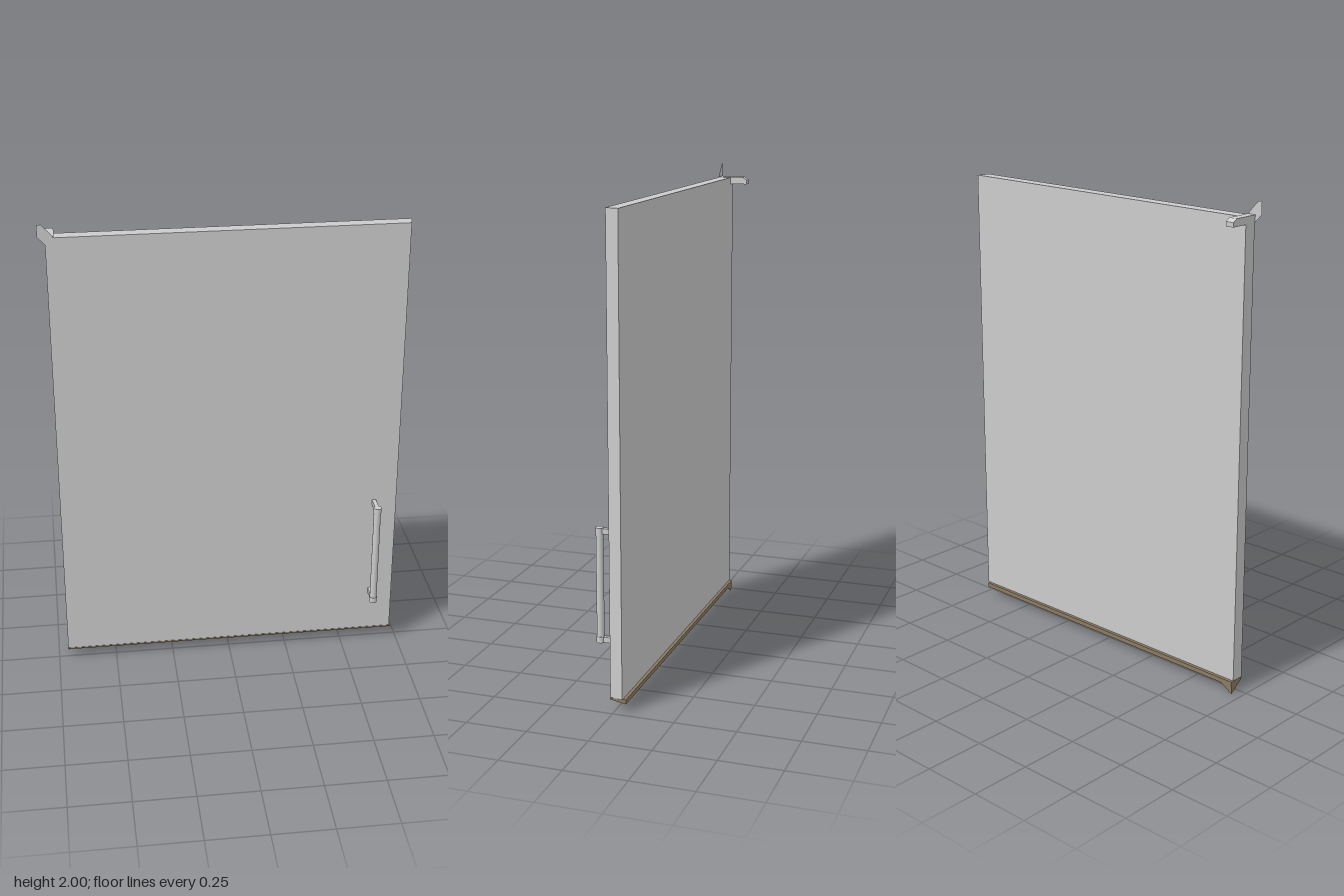
import * as THREE from 'three';

const FRONT = 0.018, BACK = -0.035;
const LEFT = -0.71, RIGHT = 0.735;

export function createModel() {
  const group = new THREE.Group();
  const grey = new THREE.MeshStandardMaterial({ color: 0xcccccc, side: THREE.DoubleSide });
  const brown = new THREE.MeshStandardMaterial({ color: 0x8c7b62, side: THREE.DoubleSide });

  const add = (name, geometry, material, x = 0, y = 0, z = 0) => {
    const mesh = new THREE.Mesh(geometry, material);
    mesh.name = name;
    mesh.position.set(x, y, z);
    group.add(mesh);
    return mesh;
  };
  const outline = points => new THREE.Shape(points.map(p => new THREE.Vector2(...p)));
  const extrude = (points, depth) =>
    new THREE.ExtrudeGeometry(outline(points), { depth, bevelEnabled: false });

  // Door slab: plan outline with a bevelled opening edge, raised along y
  const slab = extrude([
    [LEFT, -FRONT], [RIGHT - 0.013, -FRONT], [RIGHT, -BACK], [LEFT, -BACK],
  ], 1.887);
  slab.rotateX(-Math.PI / 2);
  add('doorPanel', slab, grey, 0, 0.058, 0);

  // Sloping sill under the door, its section swept along x
  const sill = extrude([
    [-FRONT, 0.057], [0.047, 0.057], [0.047, 0.038], [-FRONT, 0.05],
  ], 1.435);
  sill.rotateY(Math.PI / 2);
  add('bottomStrip', sill, brown, LEFT, 0, 0);

  // Small pointed corner piece below the hinge side
  const corners = [
    [LEFT, 0.05, FRONT], [LEFT, 0.05, -0.045], [-0.65, 0.04, -0.045], [LEFT, 0.003, -0.045],
  ];
  const faces = [[0, 2, 1], [0, 1, 3], [0, 3, 2], [1, 2, 3]];
  const corner = new THREE.BufferGeometry();
  corner.setAttribute('position', new THREE.Float32BufferAttribute(
    faces.flat().flatMap(i => corners[i]), 3));
  corner.computeVertexNormals();
  add('bottomCorner', corner, brown);

  // Top hinge arm running backwards with a chamfered tip
  const arm = extrude([
    [-0.02, 1.917], [0.108, 1.917], [0.108, 1.935], [0.09, 1.947], [-0.02, 1.947],
  ], 0.035);
  arm.rotateY(Math.PI / 2);
  add('hingeArm', arm, grey, LEFT, 0, 0);

  // Thin upright hinge plate
  add('hingePlate', new THREE.ShapeGeometry(outline([
    [-0.74, 2.0], [-0.74, 1.95], [-0.708, 1.916], [-0.68, 1.945], [-0.68, 1.953], [-0.723, 2.0],
  ])), grey, 0, 0, 0.02);

  // Bar handle with end caps and two posts
  const hx = 0.625, hz = 0.093;
  add('handleBar', new THREE.CylinderGeometry(0.015, 0.015, 0.42, 24), grey, hx, 0.475, hz);
  for (const side of [-1, 1]) {
    add('handleCap', new THREE.CylinderGeometry(0.0165, 0.0165, 0.025, 24), grey,
      hx, 0.475 + side * 0.2225, hz);
    add('handlePost', new THREE.BoxGeometry(0.017, 0.022, hz - FRONT), grey,
      hx, 0.475 + side * 0.222, (hz + FRONT) / 2);
  }
  return group;
}
